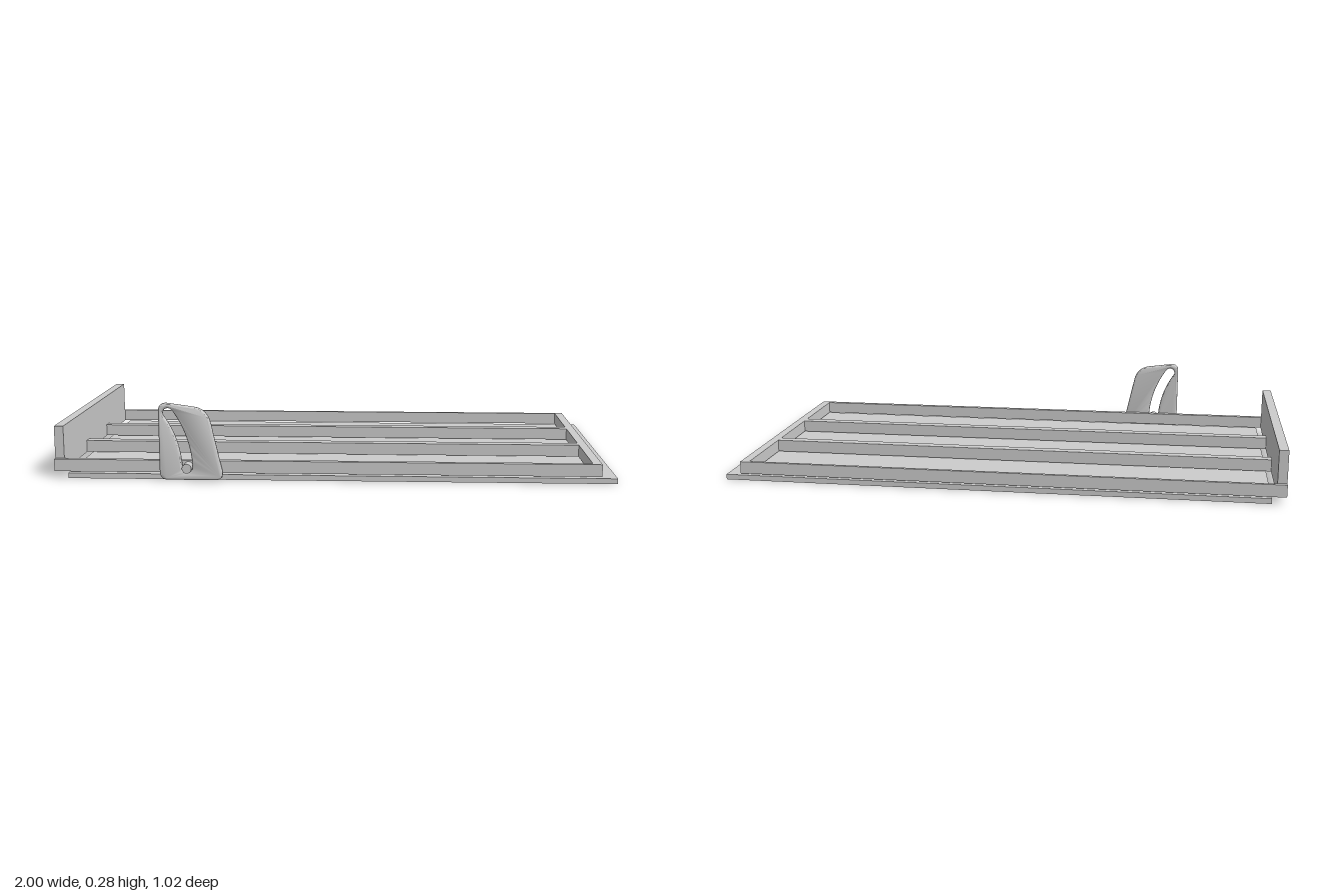
import * as THREE from 'three';
import { toCreasedNormals } from 'three/addons/utils/BufferGeometryUtils.js';

const material = new THREE.MeshStandardMaterial({ color: 0xcccccc });

// Box given by its limits on each axis
function slab(name, x0, x1, y0, y1, z0, z1) {
  const mesh = new THREE.Mesh(new THREE.BoxGeometry(x1 - x0, y1 - y0, z1 - z0), material);
  mesh.position.set((x0 + x1) / 2, (y0 + y1) / 2, (z0 + z1) / 2);
  mesh.name = name;
  return mesh;
}

function rectangle(target, x0, x1, y0, y1) {
  target.moveTo(x0, y0);
  target.lineTo(x1, y0);
  target.lineTo(x1, y1);
  target.lineTo(x0, y1);
  target.closePath();
  return target;
}

// Rounded slot of half-width r following a curve
function slotPath(curve, r, steps = 16) {
  const right = [], left = [], ends = [[], []];
  for (let i = 0; i <= steps; i++) {
    const p = curve.getPoint(i / steps), t = curve.getTangent(i / steps);
    right.push(new THREE.Vector2(p.x + t.y * r, p.y - t.x * r));
    left.unshift(new THREE.Vector2(p.x - t.y * r, p.y + t.x * r));
  }
  [1, 0].forEach((u, k) => {
    const p = curve.getPoint(u), t = curve.getTangent(u);
    const start = Math.atan2(t.y, t.x) + (k ? Math.PI : 0) - Math.PI / 2;
    for (let i = 1; i < 10; i++) {
      const a = start + (i / 10) * Math.PI;
      ends[k].push(new THREE.Vector2(p.x + r * Math.cos(a), p.y + r * Math.sin(a)));
    }
  });
  return new THREE.Path([...right, ...ends[0], ...left, ...ends[1]]);
}

export function createModel() {
  const model = new THREE.Group();
  model.name = 'slidingTray';

  // Thin plate below, shifted along the length of the tray
  model.add(slab('basePlate', -0.95, 1, 0, 0.019, -0.508, 0.467));

  // Frame with three long openings
  const outline = rectangle(new THREE.Shape(), -1, 0.945, -0.467, 0.508);
  for (const [z0, z1] of [[-0.495, -0.2], [-0.163, 0.11], [0.148, 0.447]]) {
    outline.holes.push(rectangle(new THREE.Path(), -0.967, 0.913, -z1, -z0));
  }
  const frameGeometry = new THREE.ExtrudeGeometry(outline, { depth: 0.044, bevelEnabled: false });
  frameGeometry.rotateX(-Math.PI / 2);
  const frame = new THREE.Mesh(frameGeometry, material);
  frame.name = 'trayFrame';
  frame.position.y = 0.025;
  model.add(frame);

  // Upright board at the end
  model.add(slab('endWall', -1, -0.967, 0.069, 0.186, -0.49, 0.45));

  // Slotted bracket on the front edge
  const plate = new THREE.Shape();
  plate.moveTo(-0.585, 0.004);
  plate.lineTo(-0.415, 0.004);
  plate.quadraticCurveTo(-0.388, 0.004, -0.393, 0.035);
  plate.lineTo(-0.431, 0.208);
  plate.quadraticCurveTo(-0.442, 0.258, -0.49, 0.266);
  plate.lineTo(-0.585, 0.279);
  plate.quadraticCurveTo(-0.615, 0.281, -0.615, 0.25);
  plate.lineTo(-0.615, 0.034);
  plate.quadraticCurveTo(-0.615, 0.004, -0.585, 0.004);
  const slotCurve = new THREE.QuadraticBezierCurve(
    new THREE.Vector2(-0.516, 0.05),
    new THREE.Vector2(-0.522, 0.16),
    new THREE.Vector2(-0.581, 0.243)
  );
  plate.holes.push(slotPath(slotCurve, 0.019));
  const bevel = 0.007;
  const bracketGeometry = new THREE.ExtrudeGeometry(plate, {
    depth: 0.026 - 2 * bevel, bevelThickness: bevel, bevelSize: bevel,
    bevelOffset: -bevel, bevelSegments: 4, curveSegments: 10
  });
  const bracket = new THREE.Mesh(toCreasedNormals(bracketGeometry, 0.6), material);
  bracket.name = 'slottedBracket';
  bracket.position.z = 0.47 + bevel;
  model.add(bracket);

  // Pin from the frame through the bottom of the slot
  const pin = new THREE.Mesh(new THREE.CylinderGeometry(0.017, 0.017, 0.044, 32), material);
  pin.name = 'guidePin';
  pin.rotation.x = Math.PI / 2;
  pin.position.set(-0.516, 0.048, 0.486);
  model.add(pin);

  return model;
}
